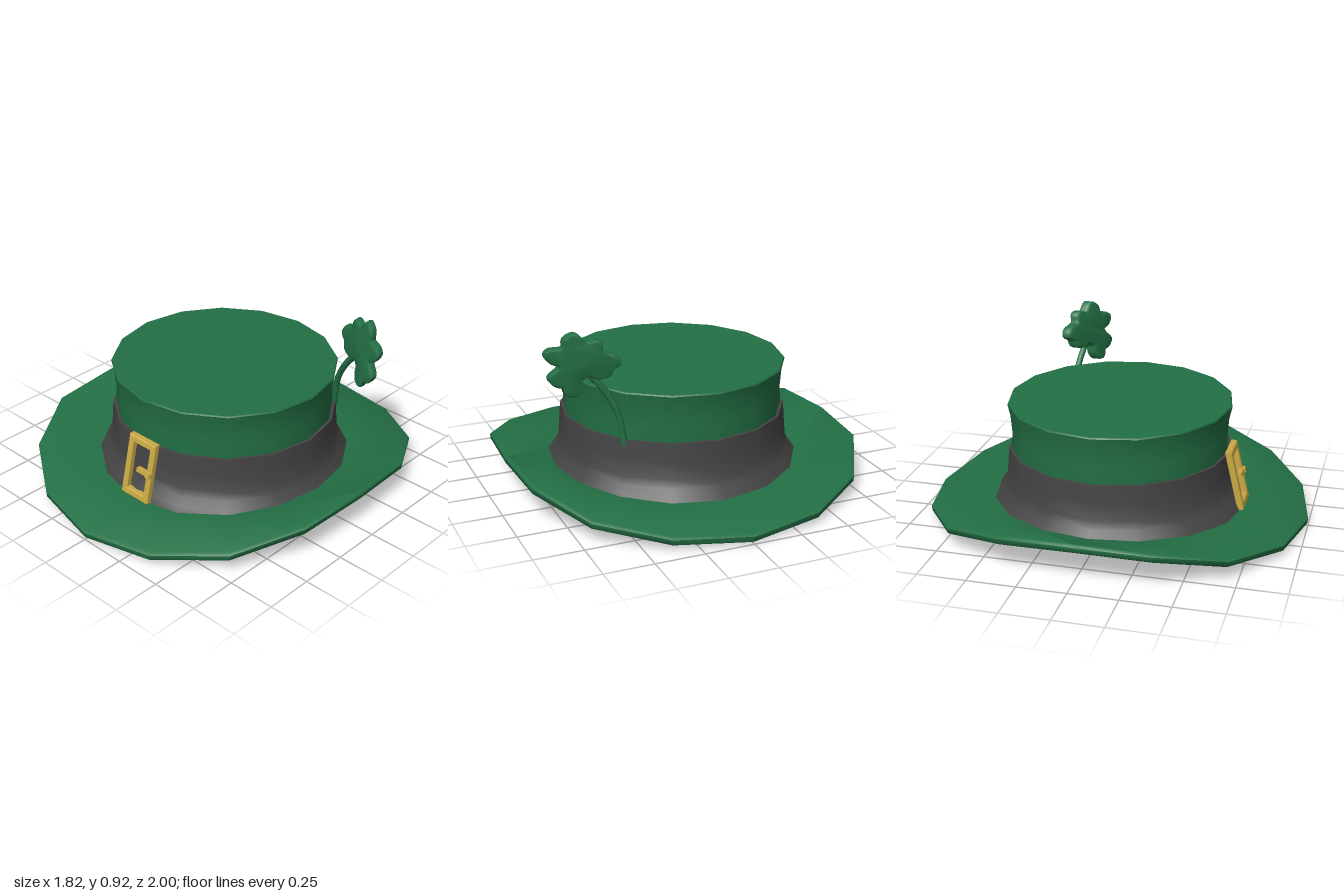
import * as THREE from 'three';
import { toCreasedNormals } from 'three/addons/utils/BufferGeometryUtils.js';

const SIDES = 16;
const paint = (name, color) => {
  const m = new THREE.MeshStandardMaterial({ color });
  m.name = name;
  return m;
};

// Move every vertex by a rule
function deform(geometry, rule) {
  const p = geometry.attributes.position;
  const v = new THREE.Vector3();
  for (let i = 0; i < p.count; i++) {
    rule(v.fromBufferAttribute(p, i));
    p.setXYZ(i, v.x, v.y, v.z);
  }
  return geometry;
}

function turned(points) {
  return new THREE.LatheGeometry(points.map(([r, y]) => new THREE.Vector2(r, y)), SIDES);
}

// Oval brim: loops of points from the inner top edge, over the rim, to the underside
function brimGeometry() {
  const rimX = [0.91, 0.885, 0.7, 0.38, 0];      // from the side to the front
  const rimY = [0.205, 0.19, 0.117, 0.07, 0.05];
  const flat = (r, y, lift = 0) => (s, c) => [r * s, y + lift * s * s, r * c];
  const rim = (scale, drop) => (s, c, q) => [Math.sign(s) * rimX[q] * scale, rimY[q] - drop, c * scale];
  const rings = [
    flat(0.5, 0.085), flat(0.67, 0.085, 0.035),
    rim(0.985, -0.003), rim(1, 0.008), rim(0.997, 0.034), rim(0.975, 0.046),
    flat(0.65, 0.042, 0.008), flat(0, 0.042),
  ];
  const pos = [], index = [];
  for (const ring of rings) {
    for (let j = 0; j < SIDES; j++) {
      const a = (j / SIDES) * Math.PI * 2;
      const k = j % 8;
      const q = 4 - (k <= 4 ? k : 8 - k);
      const s = Math.sin(a), c = Math.cos(a);
      pos.push(...ring(Math.abs(s) < 1e-6 ? 0 : s, c, q));
    }
  }
  for (let i = 0; i < rings.length - 1; i++) {
    for (let j = 0; j < SIDES; j++) {
      const n = (j + 1) % SIDES;
      const a = i * SIDES + j, b = a + SIDES, d = i * SIDES + n, c = d + SIDES;
      index.push(a, b, c, a, c, d);
    }
  }
  const g = new THREE.BufferGeometry();
  g.setAttribute('position', new THREE.Float32BufferAttribute(pos, 3));
  g.setIndex(index);
  return toCreasedNormals(g, 1.0);
}

// Rectangular frame with a window
function frameGeometry(x0, x1, y0, y1, bar, depth) {
  const rect = (T, i) => new T([
    new THREE.Vector2(x0 + i, y0 + i), new THREE.Vector2(x1 - i, y0 + i),
    new THREE.Vector2(x1 - i, y1 - i), new THREE.Vector2(x0 + i, y1 - i),
  ]);
  const shape = rect(THREE.Shape, 0.005);
  shape.holes.push(rect(THREE.Path, bar));
  return new THREE.ExtrudeGeometry(shape, {
    depth: depth - 0.01, bevelSize: 0.005, bevelThickness: 0.005, bevelSegments: 1,
  });
}

export function createModel() {
  const green = paint('hat green', 0x237045);
  const grey = paint('band grey', 0x444445);
  const gold = paint('buckle gold', 0xc9a844);

  const hat = new THREE.Group();
  hat.name = 'hat';
  const add = (name, geometry, material, parent = hat) => {
    const mesh = new THREE.Mesh(geometry, material);
    mesh.name = name;
    parent.add(mesh);
    return mesh;
  };

  add('brim', brimGeometry(), green);

  // Crown, leaning back very slightly
  const lean = (v) => { v.y += v.z * 0.008; };
  add('crown', toCreasedNormals(deform(turned([
    [0.56, 0.28], [0.57, 0.37], [0.565, 0.46], [0.572, 0.55], [0.586, 0.612], [0.582, 0.619], [0, 0.619],
  ]), lean), 0.7), green);

  // Flared band with a thin ledge on top
  add('band', toCreasedNormals(deform(turned([
    [0.675, 0.075], [0.65, 0.115], [0.62, 0.15], [0.6, 0.19], [0.592, 0.28], [0.585, 0.372], [0.56, 0.372],
  ]), lean), 0.7), grey);

  // Buckle following the slope of the band
  const buckle = new THREE.Group();
  buckle.name = 'buckle';
  hat.add(buckle);
  const slope = (v) => { v.z += 0.572 + (0.4 - v.y) * 0.24; };
  const frame = deform(frameGeometry(-0.085, 0.1, 0.09, 0.4, 0.029, 0.035), slope);
  add('buckleFrame', toCreasedNormals(frame, 0.3), gold, buckle);
  const prong = new THREE.BoxGeometry(0.1, 0.02, 0.022).translate(0.053, 0.245, 0.026);
  add('buckleProng', toCreasedNormals(deform(prong, slope), 0.3), gold, buckle);
  const loop = new THREE.BoxGeometry(0.028, 0.026, 0.02).translate(0.086, 0.245, 0.034);
  add('prongLoop', toCreasedNormals(deform(loop, slope), 0.3), gold, buckle);

  // Three-leaved clover tucked into the band
  const clover = new THREE.Group();
  clover.name = 'clover';
  hat.add(clover);
  const outline = [
    [0.58, 0.715], [0.535, 0.7], [0.49, 0.715], [0.48, 0.75], [0.45, 0.775], [0.465, 0.81],
    [0.525, 0.83], [0.535, 0.875], [0.56, 0.885], [0.595, 0.87], [0.615, 0.89], [0.645, 0.918],
    [0.685, 0.89], [0.69, 0.845], [0.745, 0.835], [0.765, 0.81], [0.74, 0.775], [0.7, 0.76],
    [0.712, 0.73], [0.745, 0.69], [0.72, 0.655], [0.685, 0.645], [0.668, 0.607], [0.635, 0.607],
    [0.615, 0.64], [0.615, 0.685],
  ].map(([x, y]) => new THREE.Vector2(x, y));
  const curve = new THREE.SplineCurve([...outline, outline[0]]);
  const leafShape = new THREE.Shape(curve.getPoints(78).slice(0, -1));
  const leaves = new THREE.ExtrudeGeometry(leafShape, {
    depth: 0.03, bevelSize: 0.01, bevelThickness: 0.012, bevelSegments: 2,
  });
  deform(leaves, (v) => { v.z += -0.36 + (v.x - 0.61) * 0.45 - (v.y - 0.76) * 0.16; });
  add('cloverLeaves', toCreasedNormals(leaves, 0.7), green, clover);

  const stemPath = new THREE.CatmullRomCurve3([
    new THREE.Vector3(0.415, 0.34, -0.4), new THREE.Vector3(0.44, 0.5, -0.385),
    new THREE.Vector3(0.505, 0.63, -0.365), new THREE.Vector3(0.6, 0.74, -0.345),
  ]);
  add('cloverStem', new THREE.TubeGeometry(stemPath, 12, 0.017, 8), green, clover);

  return hat;
}
